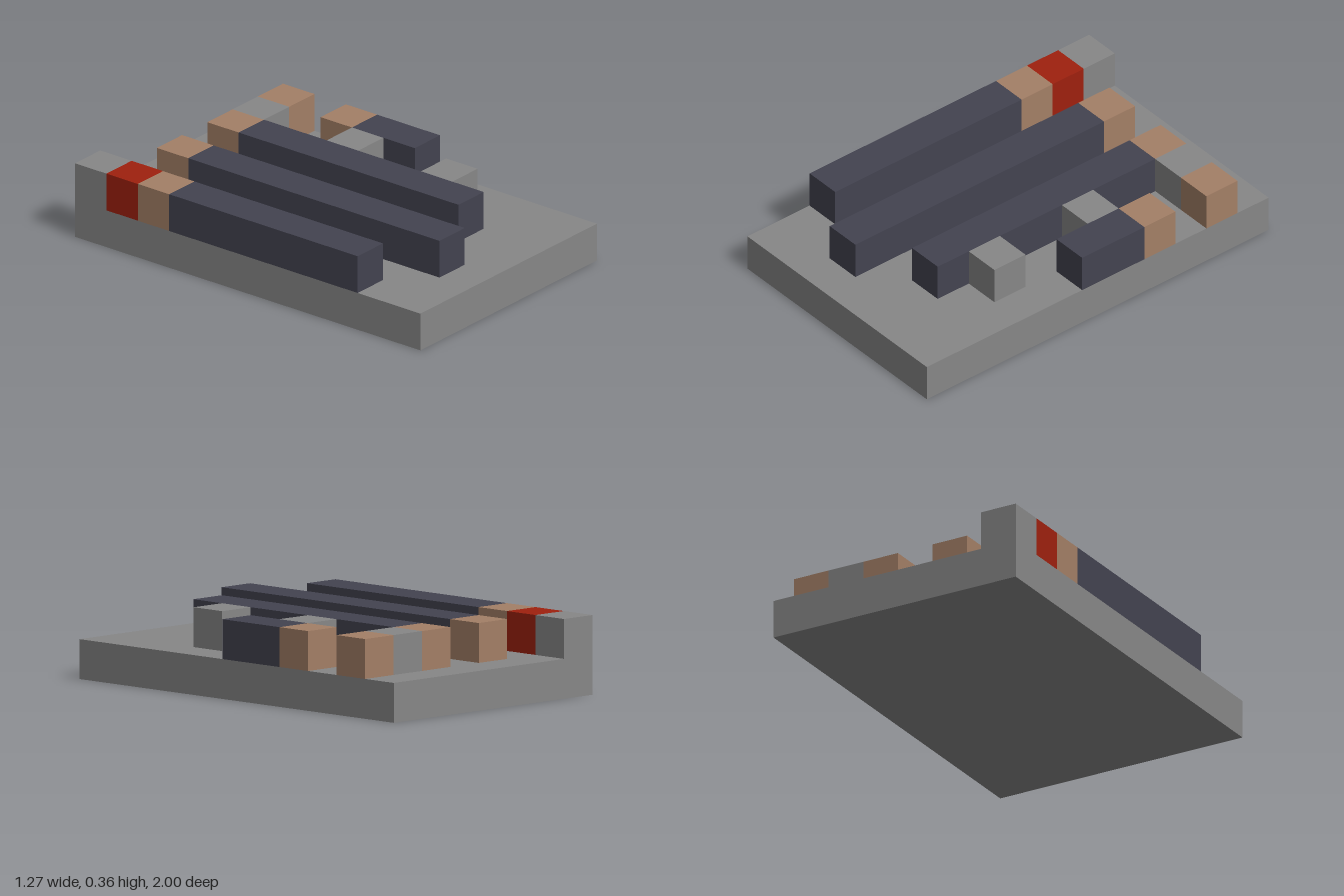
import * as THREE from 'three';

const U = 2 / 11; // one block; the slab is 7 blocks wide and 11 long

export function createModel() {
  const model = new THREE.Group();
  model.name = 'blockLayout';

  const material = (name, color) => {
    const m = new THREE.MeshStandardMaterial({ color });
    m.name = name;
    return m;
  };
  const grey = material('stone grey', 0x878787);
  const dark = material('dark slate', 0x434350);
  const tan = material('tan', 0xa37f66);
  const red = material('red', 0x9e200e);

  // Box covering whole blocks, counted from the back right corner of the slab
  function block(name, mat, col, row, length = 1, width = 1, level = 1) {
    const mesh = new THREE.Mesh(new THREE.BoxGeometry(width * U, U, length * U), mat);
    mesh.position.set((col + width / 2 - 3.5) * U, (level + 0.5) * U, (row + length / 2 - 5.5) * U);
    mesh.name = name;
    model.add(mesh);
  }

  block('baseSlab', grey, 0, 0, 11, 7, 0);

  // Dark bars: column, first row, length
  [[0, 3, 6], [2, 2, 8], [4, 2, 7], [6, 4, 2]].forEach(([c, r, n], i) => block(`darkBar${i + 1}`, dark, c, r, n));

  // Tan blocks at the back ends of the bars
  [[0, 2], [2, 1], [4, 1], [6, 1], [6, 3]].forEach(([c, r], i) => block(`tanBlock${i + 1}`, tan, c, r));

  // Grey corner post and connecting blocks
  block('cornerPost', grey, 0, 0);
  [1, 4, 7].forEach((r, i) => block(`greyConnector${i + 1}`, grey, 5, r));

  block('redBlock', red, 0, 1);

  return model;
}
